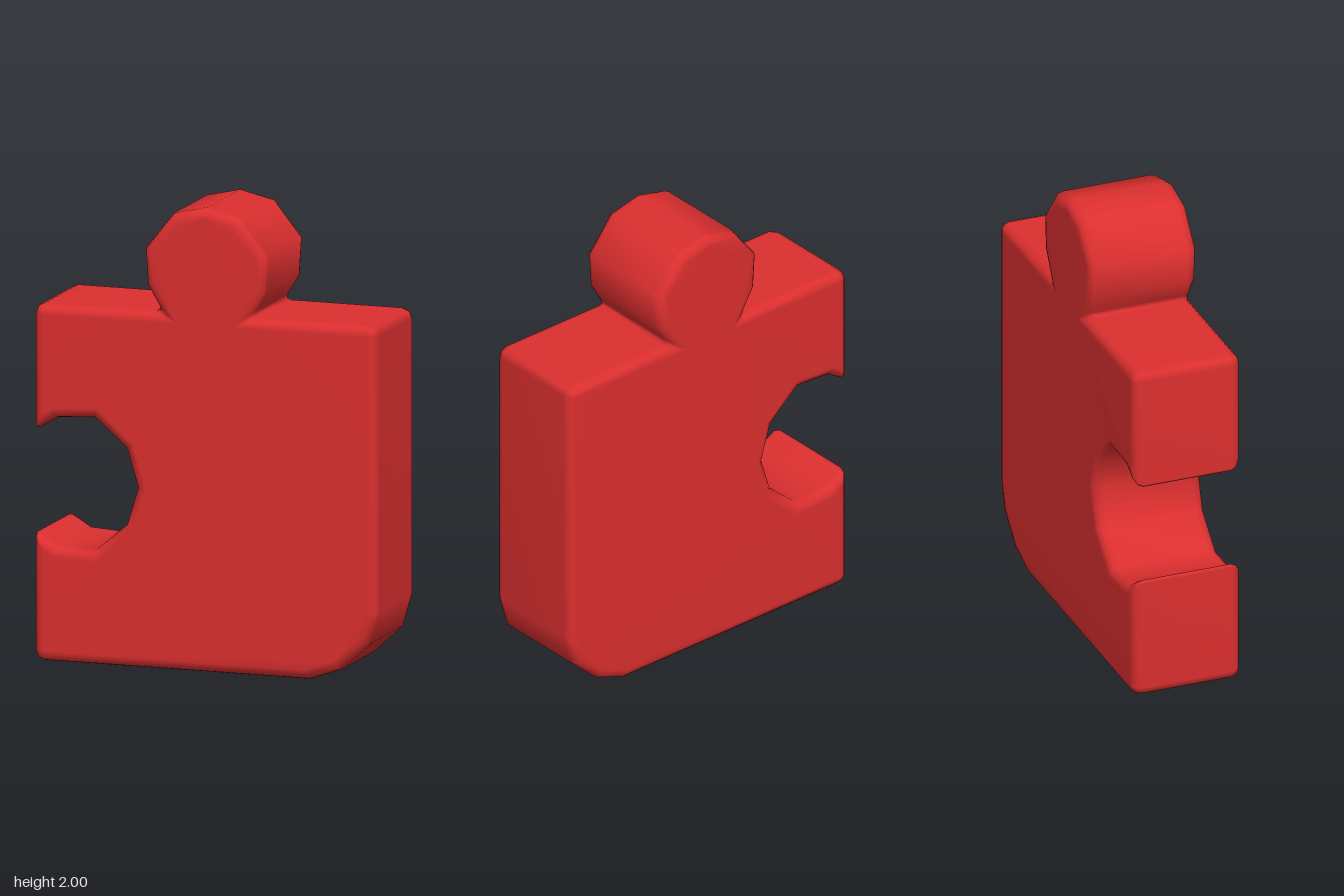
import * as THREE from 'three';
import { mergeVertices } from 'three/addons/utils/BufferGeometryUtils.js';

const HALF_DEPTH = 0.245, BEVEL = 0.045, STEPS = 3;

// Counter-clockwise outline: x, y and how far the corner is rounded off
const tab = [[0.2, 1.54, 0.03], [0.265, 1.65, 0], [0.275, 1.81, 0], [0.15, 1.965, 0]];
const outline = [
  [-0.77, 0, 0.045],
  [0.46, 0, 0], [0.6, 0.05, 0], [0.73, 0.17, 0], [0.77, 0.31, 0], // large rounded corner
  [0.77, 1.54, 0.045],
  ...tab, [0, 2, 0], ...tab.map(([x, y, c]) => [-x, y, c]).reverse(), // knob
  [-0.77, 1.54, 0.045],
  [-0.77, 0.99, 0.022], [-0.67, 1.05, 0], [-0.5, 1.06, 0], [-0.36, 0.94, 0], // socket
  [-0.31, 0.775, 0],
  [-0.36, 0.61, 0], [-0.5, 0.49, 0], [-0.67, 0.5, 0], [-0.77, 0.56, 0.022],
];

function pieceGeometry() {
  const corners = outline.map(([x, y]) => new THREE.Vector2(x, y));
  const n = corners.length;
  const cap = [];   // mitred inset outline of the flat faces
  const inner = [], outer = []; // matching rings of the rounded edge
  corners.forEach((p, i) => {
    const toPrev = corners[(i + n - 1) % n].clone().sub(p).normalize();
    const toNext = corners[(i + 1) % n].clone().sub(p).normalize();
    const n1 = new THREE.Vector2(toPrev.y, -toPrev.x);
    const n2 = new THREE.Vector2(-toNext.y, toNext.x);
    const inset = n1.clone().add(n2).multiplyScalar(BEVEL / (1 + n1.dot(n2))).add(p);
    cap.push(inset);
    const cut = outline[i][2];
    if (!cut) {
      inner.push(inset);
      outer.push(p);
      return;
    }
    const a = p.clone().addScaledVector(toPrev, cut);
    const b = p.clone().addScaledVector(toNext, cut);
    const mid = a.clone().add(b).multiplyScalar(0.29).addScaledVector(p, 0.42);
    inner.push(inset, inset, inset);
    outer.push(a, mid, b);
  });

  // Rings from the front face, round the edge, to the back face
  const positions = [], index = [], m = outer.length;
  const addRing = (step, side) => {
    const phi = (step / STEPS) * Math.PI / 2;
    const z = side * (HALF_DEPTH - BEVEL + BEVEL * Math.cos(phi));
    outer.forEach((o, i) => {
      const q = inner[i].clone().lerp(o, Math.sin(phi));
      positions.push(q.x, q.y, z);
    });
  };
  for (let s = 0; s <= STEPS; s++) addRing(s, 1);
  for (let s = STEPS; s >= 0; s--) addRing(s, -1);
  const rings = 2 * STEPS + 2;
  for (let r = 0; r < rings - 1; r++) {
    for (let i = 0; i < m; i++) {
      const j = (i + 1) % m;
      const a = r * m + i, b = r * m + j, c = a + m, d = b + m;
      index.push(a, c, b, b, c, d);
    }
  }

  // Flat front and back faces
  const base = positions.length / 3;
  for (const z of [HALF_DEPTH, -HALF_DEPTH]) cap.forEach((q) => positions.push(q.x, q.y, z));
  for (const [a, b, c] of THREE.ShapeUtils.triangulateShape(cap, [])) {
    index.push(base + a, base + b, base + c);
    index.push(base + n + a, base + n + c, base + n + b);
  }

  let g = new THREE.BufferGeometry();
  g.setAttribute('position', new THREE.Float32BufferAttribute(positions, 3));
  g.setIndex(index);
  g = mergeVertices(g, 1e-5);
  g.computeVertexNormals();
  return g;
}

export function createModel() {
  const group = new THREE.Group();
  group.name = 'jigsawPiece';
  const red = new THREE.MeshStandardMaterial({ color: 0xdc2f2f });
  red.name = 'red';
  const piece = new THREE.Mesh(pieceGeometry(), red);
  piece.name = 'pieceBody';
  group.add(piece);
  return group;
}
